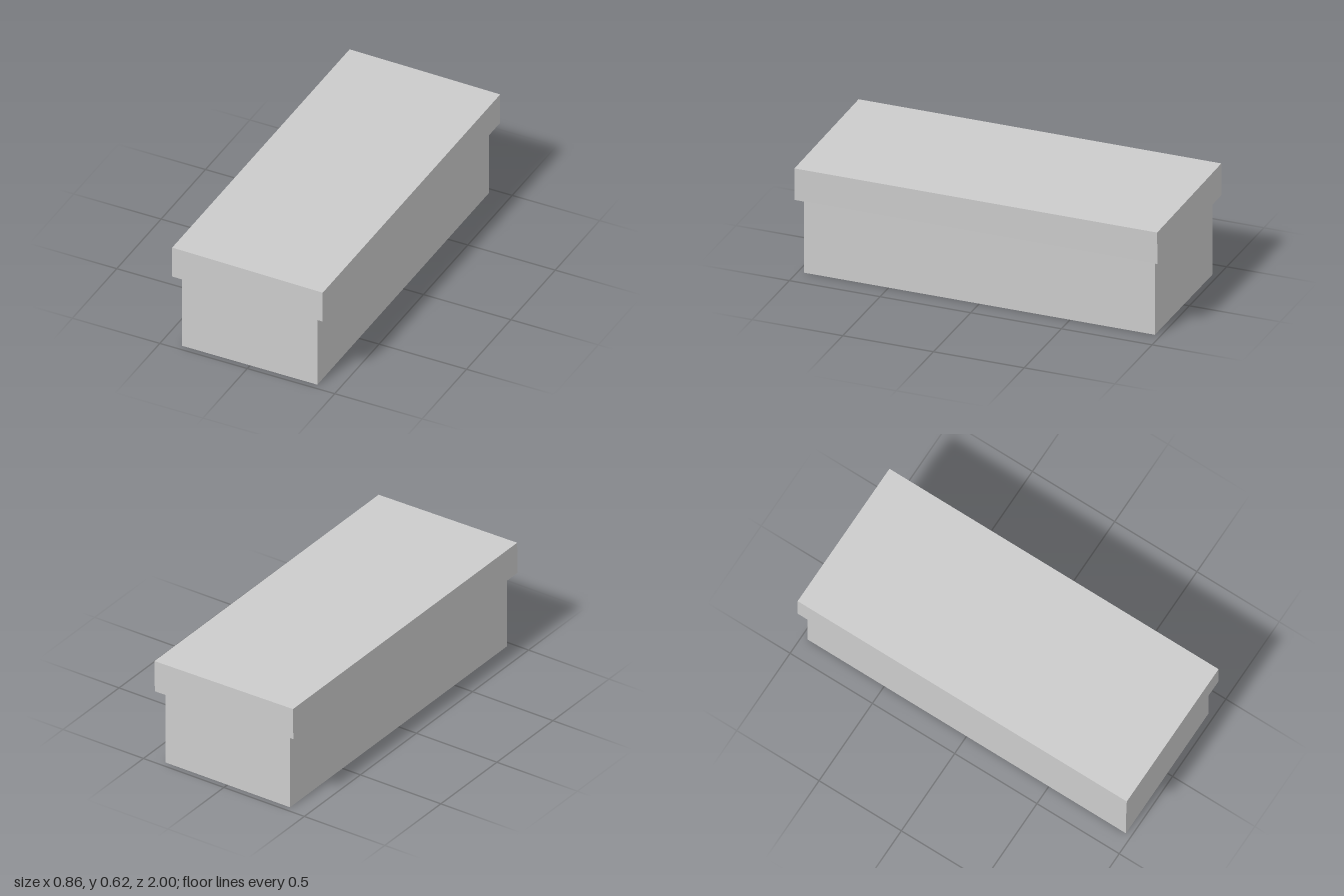
import * as THREE from 'three';

export function createModel() {
  const model = new THREE.Group();
  const material = new THREE.MeshStandardMaterial({ color: 0xcccccc, flatShading: true });

  const addBox = (name, size, position) => {
    const mesh = new THREE.Mesh(new THREE.BoxGeometry(...size), material);
    mesh.name = name;
    mesh.position.set(...position);
    model.add(mesh);
    return mesh;
  };

  // Long chest body, its top tucked just inside the lid
  addBox('body', [0.773, 0.45, 1.936], [-0.002, 0.225, 0]);

  // Overhanging lid, resting slightly tilted to one side
  const lid = addBox('lid', [0.861, 0.179, 2], [0, 0.52, 0]);
  lid.rotation.z = -0.013;

  return model;
}
